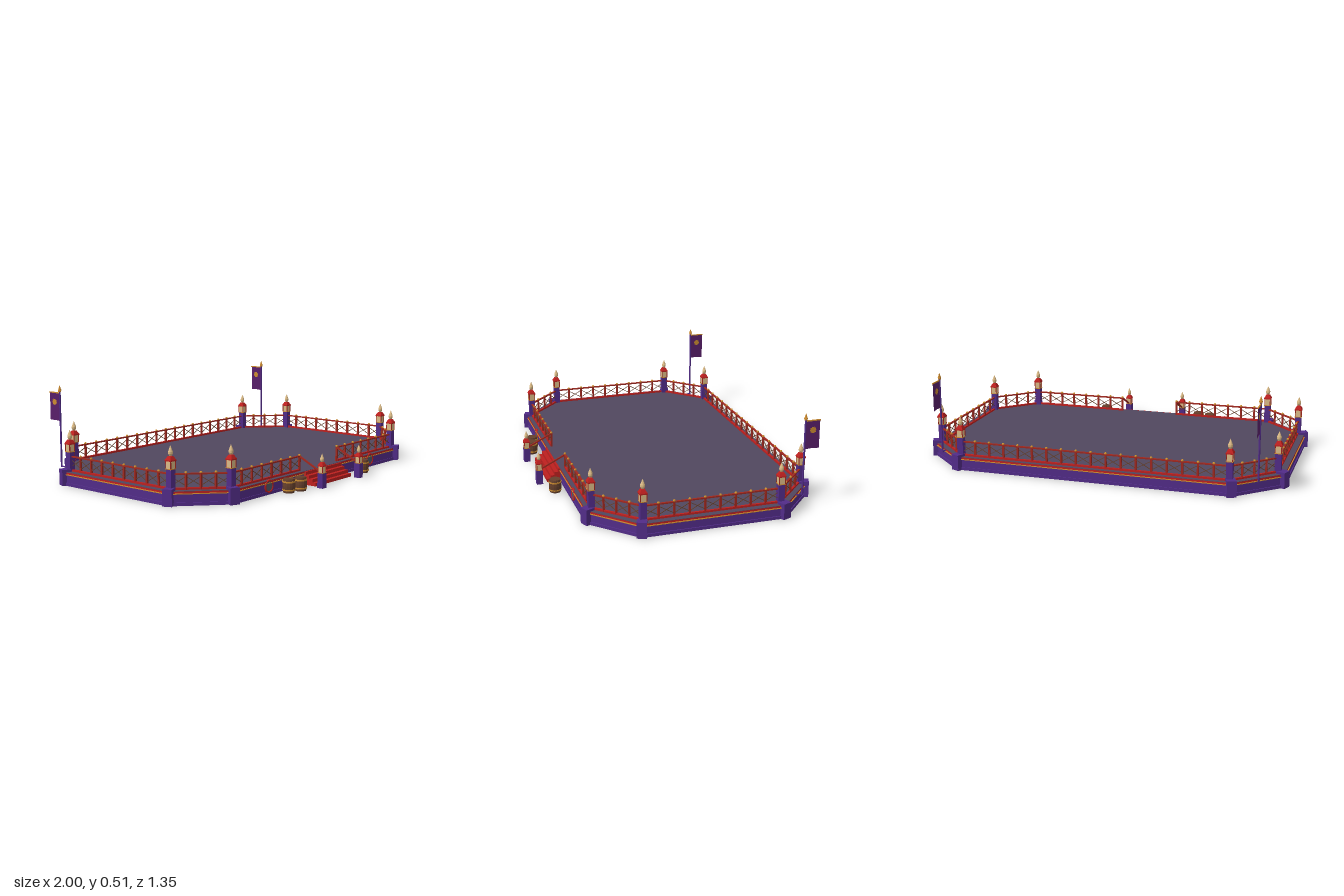
import * as THREE from 'three';

const mat = (name, color, extra = {}) => {
  const m = new THREE.MeshStandardMaterial({ color, flatShading: true, ...extra });
  m.name = name;
  return m;
};
const M = {
  purple: mat('purple stone', 0x522c88),
  deck: mat('grey deck', 0x51475f),
  red: mat('red paint', 0xbe201f),
  rail: mat('rail wood', 0xa0281f),
  gold: mat('gold', 0xcc8b30),
  cream: mat('cream lamp', 0xdcbb86),
  brown: mat('barrel wood', 0x66402c),
  flag: mat('flag cloth', 0x591f6a, { side: THREE.DoubleSide }),
  slate: mat('slate', 0x4f5868),
};

// Platform outline: chamfered rectangle through the corner posts
const HX = 0.94, HZ = 0.567, CUT_X = 0.21, CUT_Z = 0.2045, CZ = -0.0545, FLOOR = 0.013, DECK = 0.085;

// Outline corners pushed outwards by d, a little less at the front and back
function corners(d) {
  const x1 = HX + d, x2 = HX - CUT_X + 0.414 * d, z1 = HZ - CUT_Z + 0.414 * d, z2 = HZ + 0.75 * d;
  const quarter = [[x1, z1], [x2, z2]];
  const out = [];
  for (const [sx, sz] of [[1, 1], [-1, 1], [-1, -1], [1, -1]]) {
    const q = sx * sz > 0 ? quarter : [...quarter].reverse();
    for (const [x, z] of q) out.push(new THREE.Vector3(sx * x, 0, CZ + sz * z));
  }
  return out;
}

function add(parent, name, geo, material, x = 0, y = 0, z = 0) {
  const m = new THREE.Mesh(geo, material);
  m.name = name;
  m.position.set(x, y, z);
  parent.add(m);
  return m;
}
const box = (p, name, w, h, d, material, x, y, z) => add(p, name, new THREE.BoxGeometry(w, h, d), material, x, y, z);

function group(parent, name, x = 0, y = 0, z = 0) {
  const g = new THREE.Group();
  g.name = name;
  g.position.set(x, y, z);
  parent.add(g);
  return g;
}

// Square bar between two points
function beam(parent, name, a, b, w, material, h = w) {
  const m = box(parent, name, w, h, a.distanceTo(b), material, 0, 0, 0);
  m.position.copy(a).lerp(b, 0.5);
  m.lookAt(b);
}

// One octagonal layer of the platform
function layer(parent, name, d, y0, y1, material) {
  const shape = new THREE.Shape(corners(d).map(v => new THREE.Vector2(v.x, -v.z)));
  const geo = new THREE.ExtrudeGeometry(shape, { depth: y1 - y0, bevelEnabled: false });
  geo.rotateX(-Math.PI / 2);
  add(parent, name, geo, material, 0, y0, 0);
}

// Lamp with a four-sided roof and a teardrop finial
function lantern(parent, x, y, z, s = 1) {
  const g = group(parent, 'lantern', x, y, z);
  g.scale.setScalar(s);
  box(g, 'lampBase', 0.037, 0.004, 0.037, M.gold, 0, 0.002, 0);
  box(g, 'lampGlass', 0.032, 0.037, 0.032, M.cream, 0, 0.0225, 0);
  for (const sx of [-1, 1]) for (const sz of [-1, 1])
    box(g, 'lampFrame', 0.004, 0.037, 0.004, M.rail, sx * 0.016, 0.0225, sz * 0.016);
  box(g, 'lampEave', 0.04, 0.006, 0.04, M.red, 0, 0.044, 0);
  const roof = new THREE.CylinderGeometry(0.014, 0.028, 0.018, 4);
  roof.rotateY(Math.PI / 4);
  add(g, 'lampRoof', roof, M.red, 0, 0.056, 0);
  const drop = [[0, 0], [0.007, 0.002], [0.012, 0.012], [0.012, 0.022], [0.006, 0.038], [0, 0.053]];
  add(g, 'finial', new THREE.LatheGeometry(drop.map(p => new THREE.Vector2(...p)), 14), M.cream, 0, 0.065, 0);
}

// Balustrade with posts, cross braces and rails
function railing(parent, a, b) {
  const g = group(parent, 'railing');
  const n = Math.max(1, Math.round(a.distanceTo(b) / 0.08));
  const at = (t, y) => a.clone().lerp(b, t).setY(y);
  beam(g, 'topRail', at(0, 0.163), at(1, 0.163), 0.011, M.rail, 0.007);
  beam(g, 'bottomRail', at(0, 0.09), at(1, 0.09), 0.011, M.red, 0.01);
  for (let i = 0; i <= n; i++) {
    const t = i / n;
    beam(g, 'baluster', at(t, DECK), at(t, 0.166), 0.01, M.rail);
    add(g, 'balusterCap', new THREE.SphereGeometry(0.007, 12, 8), M.gold).position.copy(at(t, 0.169));
    if (i === n) break;
    beam(g, 'brace', at(t, 0.104), at((i + 1) / n, 0.15), 0.003, M.brown);
    beam(g, 'brace', at(t, 0.15), at((i + 1) / n, 0.104), 0.003, M.brown);
  }
}

function barrel(parent, x, z) {
  const g = group(parent, 'barrel', x, FLOOR, z);
  const staves = [[0, 0], [0.029, 0], [0.033, 0.02], [0.034, 0.036], [0.033, 0.052], [0.029, 0.072], [0, 0.072]];
  add(g, 'staves', new THREE.LatheGeometry(staves.map(p => new THREE.Vector2(...p)), 16), M.brown);
  for (const y of [0.015, 0.057])
    add(g, 'hoop', new THREE.CylinderGeometry(0.0345, 0.0345, 0.007, 16), M.gold, 0, y, 0);
}

// Pole on a thin wall bracket, with a side-hung pennant and sun disc
function banner(parent, x) {
  const g = group(parent, 'banner', x, 0, -0.573);
  add(g, 'pole', new THREE.CylinderGeometry(0.005, 0.005, 0.42, 12), M.purple, 0, 0.285, 0);
  box(g, 'bracket', 0.006, 0.006, 0.05, M.purple, 0, 0.079, 0.022);
  add(g, 'poleCollar', new THREE.CylinderGeometry(0.008, 0.008, 0.008, 8), M.gold, 0, 0.488, 0);
  add(g, 'spearTip', new THREE.ConeGeometry(0.01, 0.03, 8), M.gold, 0, 0.506, 0);
  box(g, 'crossbar', 0.006, 0.006, 0.086, M.gold, 0, 0.478, -0.04);
  const cloth = new THREE.Shape([[0.003, 0.475], [0.08, 0.475], [0.08, 0.326], [0.041, 0.329], [0.003, 0.326]]
    .map(p => new THREE.Vector2(...p)));
  const geo = new THREE.ShapeGeometry(cloth);
  geo.rotateY(Math.PI / 2);
  add(g, 'cloth', geo, M.flag);
  const sun = new THREE.Shape();
  for (let i = 0; i < 20; i++) {
    const r = i % 2 ? 0.015 : 0.019, t = i * Math.PI / 10;
    sun[i ? 'lineTo' : 'moveTo'](r * Math.cos(t), r * Math.sin(t));
  }
  for (const s of [-1, 1]) {
    const disc = add(g, 'sunDisc', new THREE.ShapeGeometry(sun), M.gold, s * 0.002, 0.427, -0.042);
    disc.rotation.y = s * Math.PI / 2;
  }
}

export function createModel() {
  const model = new THREE.Group();
  model.name = 'arenaPlatform';

  // Platform layers from the ground up
  const base = group(model, 'platform');
  layer(base, 'plinth', 0.042, FLOOR, 0.029, M.purple);
  layer(base, 'wall', 0.036, 0.029, 0.07, M.purple);
  layer(base, 'goldTrim', 0.043, 0.07, 0.074, M.gold);
  layer(base, 'redTrim', 0.038, 0.074, 0.0835, M.red);
  layer(base, 'deck', 0.038, 0.0835, DECK, M.deck);

  // Corner piers, posts and lamps
  const posts = corners(0);
  corners(0.027).forEach((p, i) => {
    const pier = box(model, 'cornerPier', 0.05, 0.085, 0.05, M.purple, p.x, FLOOR + 0.0425, p.z);
    const alongX = Math.abs(p.x) > 0.85;
    pier.rotation.y = Math.sign(p.x) * Math.sign(p.z) * Math.PI / 8 * (alongX ? -1 : 1);
    box(model, 'cornerPost', 0.033, 0.106, 0.033, M.purple, posts[i].x, 0.134, posts[i].z);
    lantern(model, posts[i].x, 0.187, posts[i].z);
  });

  // Railings, with a gap at the stairs
  const GAP = 0.172;
  posts.forEach((a, i) => {
    const b = posts[(i + 1) % posts.length];
    if (a.z > 0.4 && b.z > 0.4) {
      railing(model, a, new THREE.Vector3(Math.sign(a.x) * GAP, 0, a.z));
      railing(model, new THREE.Vector3(Math.sign(b.x) * GAP, 0, b.z), b);
    } else railing(model, a, b);
  });

  // Stairs with newel lamps and sloping handrails
  const stairs = group(model, 'stairs');
  const front = CZ + HZ + 0.02;
  for (let i = 0; i < 4; i++) {
    const h = 0.0175 * (i + 1), z1 = 0.614 - i * 0.021;
    box(stairs, 'step', 0.332, h, z1 - front, M.red, 0, FLOOR + h / 2, (z1 + front) / 2);
  }
  for (const s of [-1, 1]) {
    const x = s * GAP;
    box(stairs, 'newel', 0.034, 0.079, 0.034, M.purple, x, FLOOR + 0.0395, 0.658);
    lantern(stairs, x, 0.092, 0.658, 0.87);
    beam(stairs, 'handrail', new THREE.Vector3(x, 0.162, 0.515), new THREE.Vector3(x, 0.098, 0.645), 0.008, M.rail);
  }

  // Wall rings
  for (const x of [-0.466, 0.466]) {
    const ring = group(model, 'wallRing', x, 0.055, 0.539);
    add(ring, 'ringRim', new THREE.TorusGeometry(0.03, 0.006, 12, 28), M.red);
    const disc = add(ring, 'ringCentre', new THREE.CylinderGeometry(0.026, 0.026, 0.006, 24), M.slate);
    disc.rotation.x = Math.PI / 2;
  }

  barrel(model, -0.363, 0.588);
  barrel(model, -0.289, 0.607);
  barrel(model, 0.303, 0.6);
  for (const x of [-0.866, 0.866]) banner(model, x);
  return model;
}
